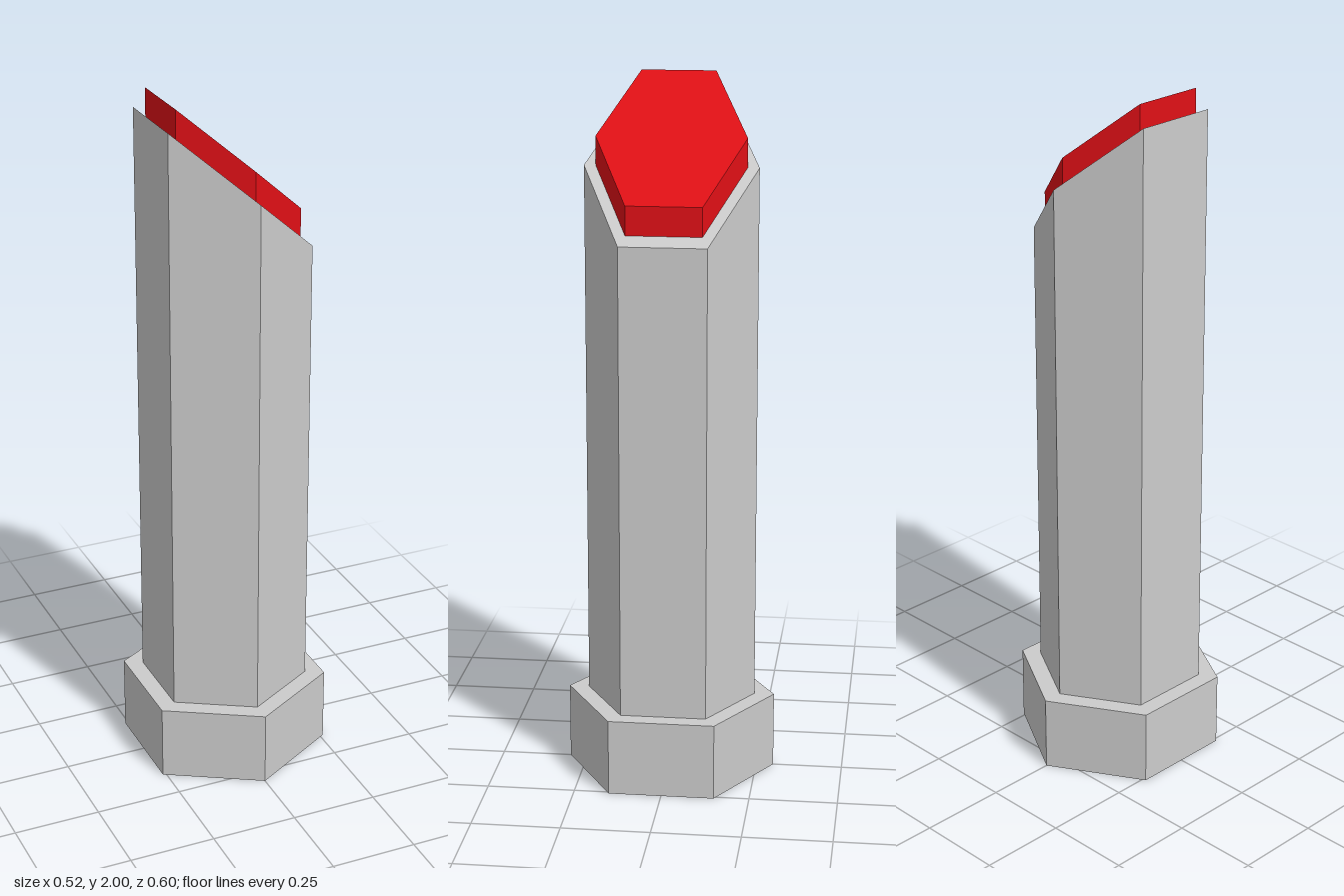
import * as THREE from 'three';

const SLOPE = 0.89; // drop in height per unit of x on the slanted cuts

// Hexagonal prism with corners on the z axis; either end may be cut on the slant
function hexPrism(name, radius, bottom, top, color, slantBottom, slantTop) {
  const height = top - bottom;
  const geometry = new THREE.CylinderGeometry(radius, radius, height, 6).toNonIndexed();
  geometry.translate(0, bottom + height / 2, 0);
  const pos = geometry.attributes.position;
  const middle = (bottom + top) / 2;
  for (let i = 0; i < pos.count; i++) {
    const slanted = pos.getY(i) > middle ? slantTop : slantBottom;
    if (slanted) pos.setY(i, pos.getY(i) - SLOPE * pos.getX(i));
  }
  geometry.computeVertexNormals();
  const mesh = new THREE.Mesh(geometry, new THREE.MeshStandardMaterial({ color, flatShading: true }));
  mesh.name = name;
  return mesh;
}

export function createModel() {
  const group = new THREE.Group();
  group.name = 'slantedHexPost';
  group.add(
    // wide foot
    hexPrism('base', 0.3, 0, 0.22, 0xcccccc, false, false),
    // tall shaft with a slanted top
    hexPrism('column', 0.243, 0.22, 1.757, 0xcccccc, false, true),
    // red plate lying on the slant
    hexPrism('redCap', 0.21, 1.757, 1.838, 0xe01016, true, true)
  );
  return group;
}
